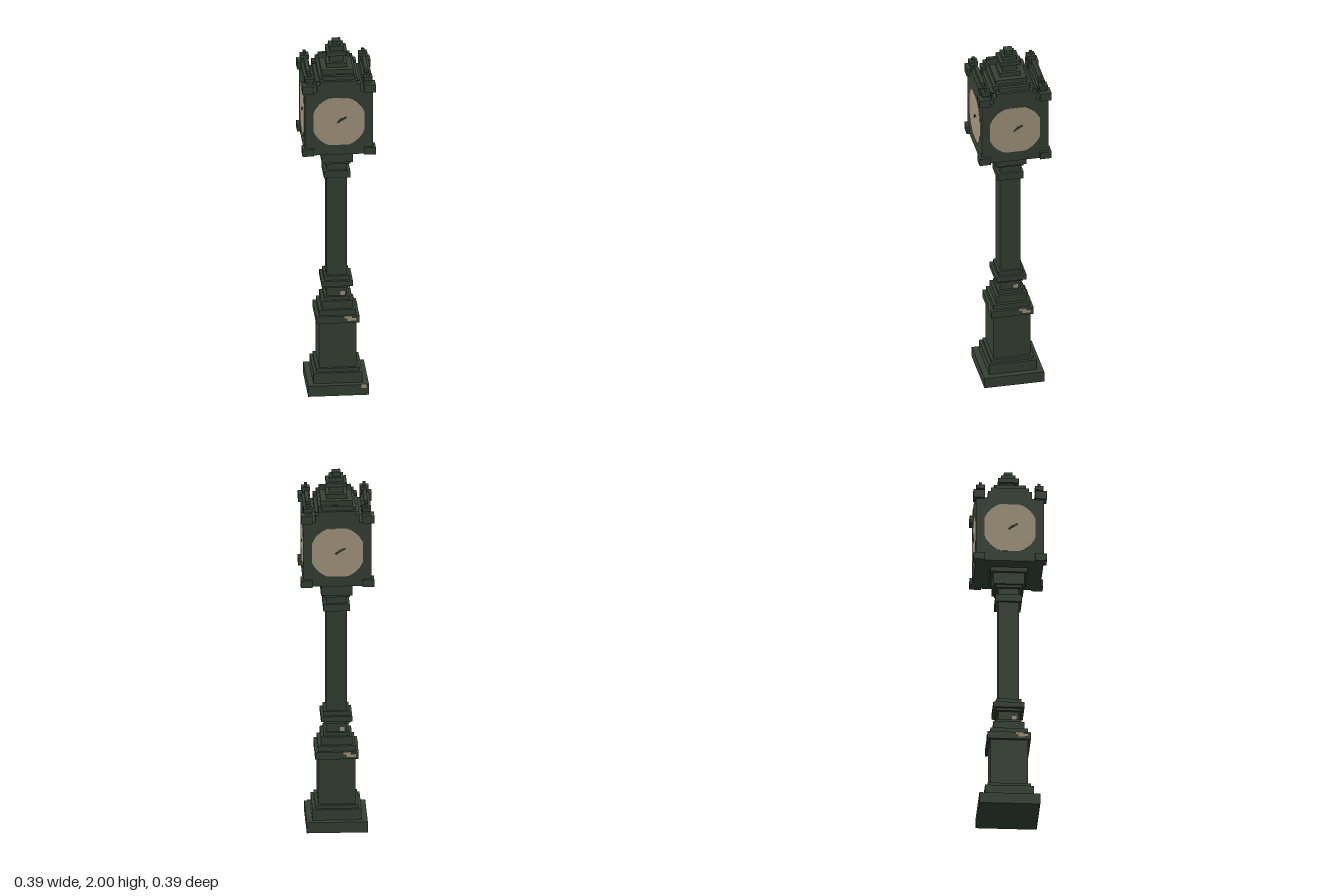
import * as THREE from 'three';

export function createModel() {
  const green = new THREE.MeshStandardMaterial({ color: 0x354135 });
  green.name = 'dark green paint';
  const cream = new THREE.MeshStandardMaterial({ color: 0xa5987f });
  cream.name = 'aged cream';
  const model = new THREE.Group();
  model.name = 'streetClock';

  // Box given by its limits on each axis
  function block(parent, name, x0, x1, y0, y1, z0, z1, material = green) {
    const mesh = new THREE.Mesh(new THREE.BoxGeometry(x1 - x0, y1 - y0, z1 - z0), material);
    mesh.position.set((x0 + x1) / 2, (y0 + y1) / 2, (z0 + z1) / 2);
    mesh.name = name;
    parent.add(mesh);
    return mesh;
  }

  // Stack of square tiers: each entry is [half width, top height]
  function stack(name, y, tiers, x = 0, z = 0) {
    const group = new THREE.Group();
    group.name = name;
    for (const [h, top] of tiers) {
      block(group, name + 'Tier', x - h, x + h, y, top, z - h, z + h);
      y = top;
    }
    model.add(group);
  }

  // Post, from the ground up to the clock head
  stack('plinth', 0, [[0.162, 0.06], [0.13, 0.12], [0.115, 0.14], [0.1, 0.4], [0.115, 0.44]]);
  stack('columnFoot', 0.44, [[0.099, 0.47], [0.083, 0.515], [0.068, 0.535], [0.055, 0.585],
    [0.068, 0.6], [0.083, 0.63], [0.068, 0.655]]);
  stack('column', 0.655, [[0.055, 1.225]]);
  stack('capital', 1.225, [[0.07, 1.265], [0.055, 1.305], [0.07, 1.32], [0.083, 1.385], [0.098, 1.41]]);

  // Clock head, stepped roof and spire
  stack('clockHead', 1.41, [[0.18, 1.775]]);
  stack('roof', 1.775, [[0.117, 1.81], [0.1, 1.835], [0.085, 1.86], [0.055, 1.885]]);
  stack('spire', 1.885, [[0.038, 1.925], [0.055, 1.95], [0.038, 1.975], [0.023, 2]]);

  // Corner blocks with small finials
  for (const sx of [-1, 1]) {
    for (const sz of [-1, 1]) {
      const x = 0.164 * sx, z = 0.164 * sz;
      stack('lowerCorner', 1.41, [[0.031, 1.45]], x, z);
      stack('upperCorner', 1.77, [[0.031, 1.815]], x, z);
      stack('finial', 1.815, [[0.015, 1.83], [0.023, 1.852], [0.008, 1.872]], 0.156 * sx, 0.156 * sz);
    }
  }

  // Dial outline: a circle flattened at its four sides
  const dialShape = new THREE.Shape();
  for (let i = 0; i < 48; i++) {
    const a = (i / 48) * Math.PI * 2;
    const x = THREE.MathUtils.clamp(0.146 * Math.cos(a), -0.136, 0.136);
    const y = THREE.MathUtils.clamp(0.146 * Math.sin(a), -0.136, 0.136);
    if (i === 0) dialShape.moveTo(x, y);
    else dialShape.lineTo(x, y);
  }
  dialShape.closePath();
  const dialGeometry = new THREE.ExtrudeGeometry(dialShape, { depth: 0.002, bevelEnabled: false });

  // Everything repeated on the four sides
  for (let i = 0; i < 4; i++) {
    const side = new THREE.Group();
    side.name = 'side' + (i + 1);
    side.rotation.y = (i * Math.PI) / 2;
    model.add(side);

    const dial = new THREE.Mesh(dialGeometry, cream);
    dial.name = 'dial';
    dial.position.set(0, 1.603, 0.18);
    side.add(dial);

    // Small pair of hands
    const longHand = block(side, 'longHand', -0.008, 0.044, 1.608, 1.617, 0.182, 0.185);
    longHand.rotation.z = 0.55;
    const shortHand = block(side, 'shortHand', -0.014, 0.022, 1.601, 1.611, 0.182, 0.184);
    shortHand.rotation.z = 0.8;

    // Stepped gable above the dial
    block(side, 'gableStep', -0.117, 0.117, 1.775, 1.815, 0.133, 0.18);
    block(side, 'gableStep', -0.1, 0.1, 1.815, 1.835, 0.145, 0.18);
    block(side, 'gableStep', -0.085, 0.085, 1.835, 1.858, 0.145, 0.165);

    // Worn paint patches
    block(side, 'wornPatch', 0.035, 0.075, 0.428, 0.44, 0.115, 0.117, cream);
    block(side, 'wornPatch', 0.05, 0.1, 0.413, 0.428, 0.115, 0.117, cream);
    block(side, 'wornPatch', 0.018, 0.042, 0.537, 0.56, 0.055, 0.057, cream);
  }

  block(model, 'basePatch', 0.122, 0.148, 0.04, 0.065, 0.162, 0.164, cream);
  block(model, 'roofPatch', -0.1, -0.086, 1.835, 1.837, -0.1, -0.088, cream);
  block(model, 'cornerPatch', -0.195, -0.182, 1.815, 1.817, -0.195, -0.182, cream);
  return model;
}
